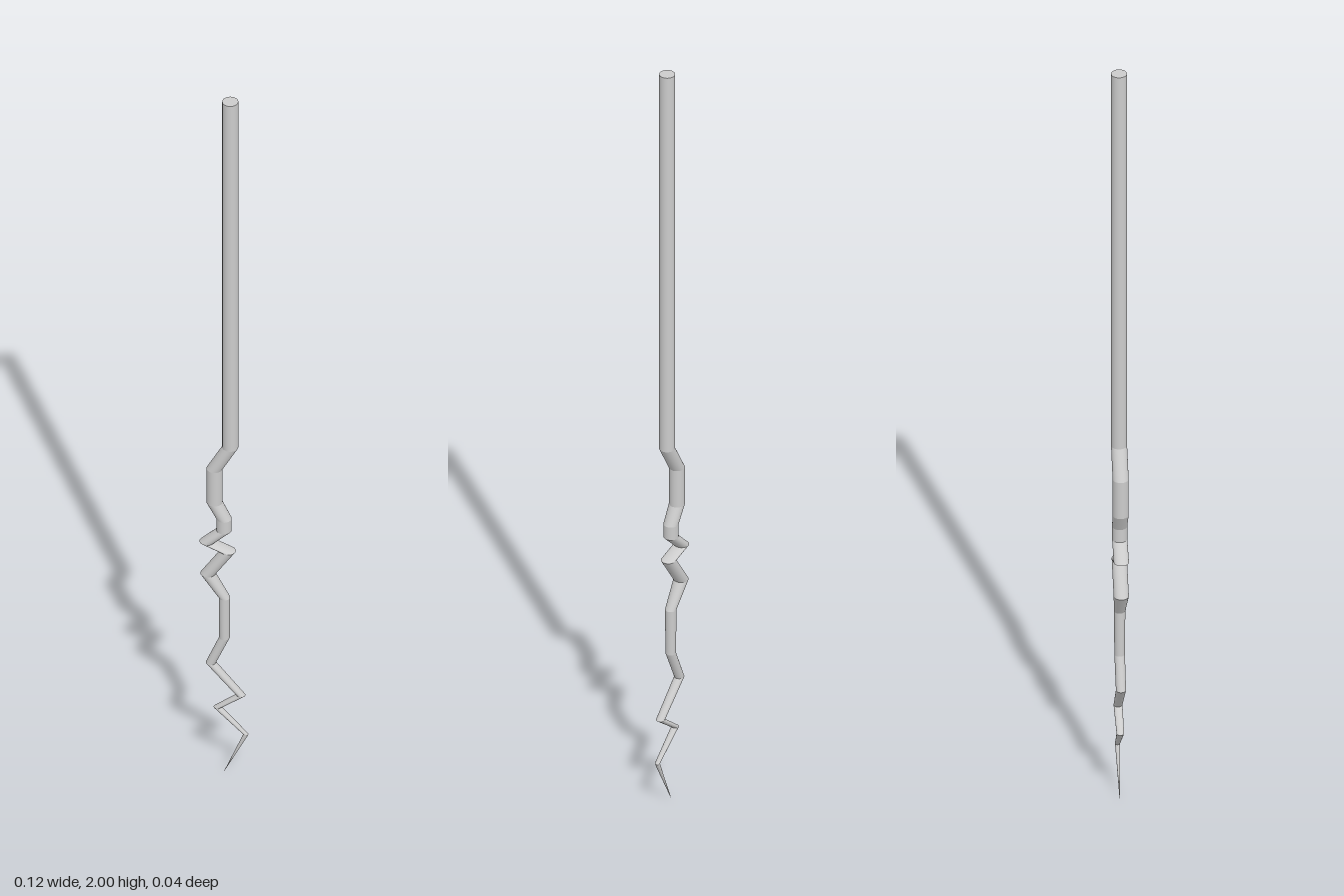
import * as THREE from 'three';
import { mergeGeometries } from 'three/addons/utils/BufferGeometryUtils.js';

const SIDES = 32;

// Horizontal rings from the bend below the handle to the tip: [x, y, radius]
const RINGS = [
  [0.015, 0.97, 0.019],
  [-0.023, 0.9, 0.019],
  [-0.023, 0.8, 0.019],
  [0, 0.755, 0.018],
  [0, 0.72, 0.018],
  [-0.041, 0.68, 0.018],
  [0.01, 0.66, 0.018],
  [-0.039, 0.585, 0.018],
  [0.001, 0.52, 0.0135],
  [0.001, 0.4, 0.0125],
  [-0.032, 0.32, 0.012],
  [0.041, 0.235, 0.0105],
  [-0.016, 0.19, 0.009],
  [0.053, 0.12, 0.006],
  [0, 0, 0.0003],
];

// Tapered cylinder sheared sideways so that both of its rings stay level
function segment([x0, y0, r0], [x1, y1, r1]) {
  const h = y0 - y1;
  const geometry = new THREE.CylinderGeometry(r0, r1, h, SIDES, 1, true);
  const shear = new THREE.Matrix4().set(
    1, (x0 - x1) / h, 0, (x0 + x1) / 2,
    0, 1, 0, (y0 + y1) / 2,
    0, 0, 1, 0,
    0, 0, 0, 1
  );
  return geometry.applyMatrix4(shear);
}

export function createModel() {
  const group = new THREE.Group();
  group.name = 'crookedSpike';
  const material = new THREE.MeshStandardMaterial({ color: 0xcccccc, side: THREE.DoubleSide });

  // Straight upper rod with a flat top
  const [x, y, r] = RINGS[0];
  const rod = new THREE.Mesh(new THREE.CylinderGeometry(r, r, 2 - y, SIDES), material);
  rod.name = 'straightRod';
  rod.position.set(x, (2 + y) / 2, 0);
  group.add(rod);

  // Zigzag lower part, tapering to a point
  const pieces = RINGS.slice(1).map((ring, i) => segment(RINGS[i], ring));
  const zigzag = new THREE.Mesh(mergeGeometries(pieces), material);
  zigzag.name = 'zigzagTip';
  group.add(zigzag);

  return group;
}
